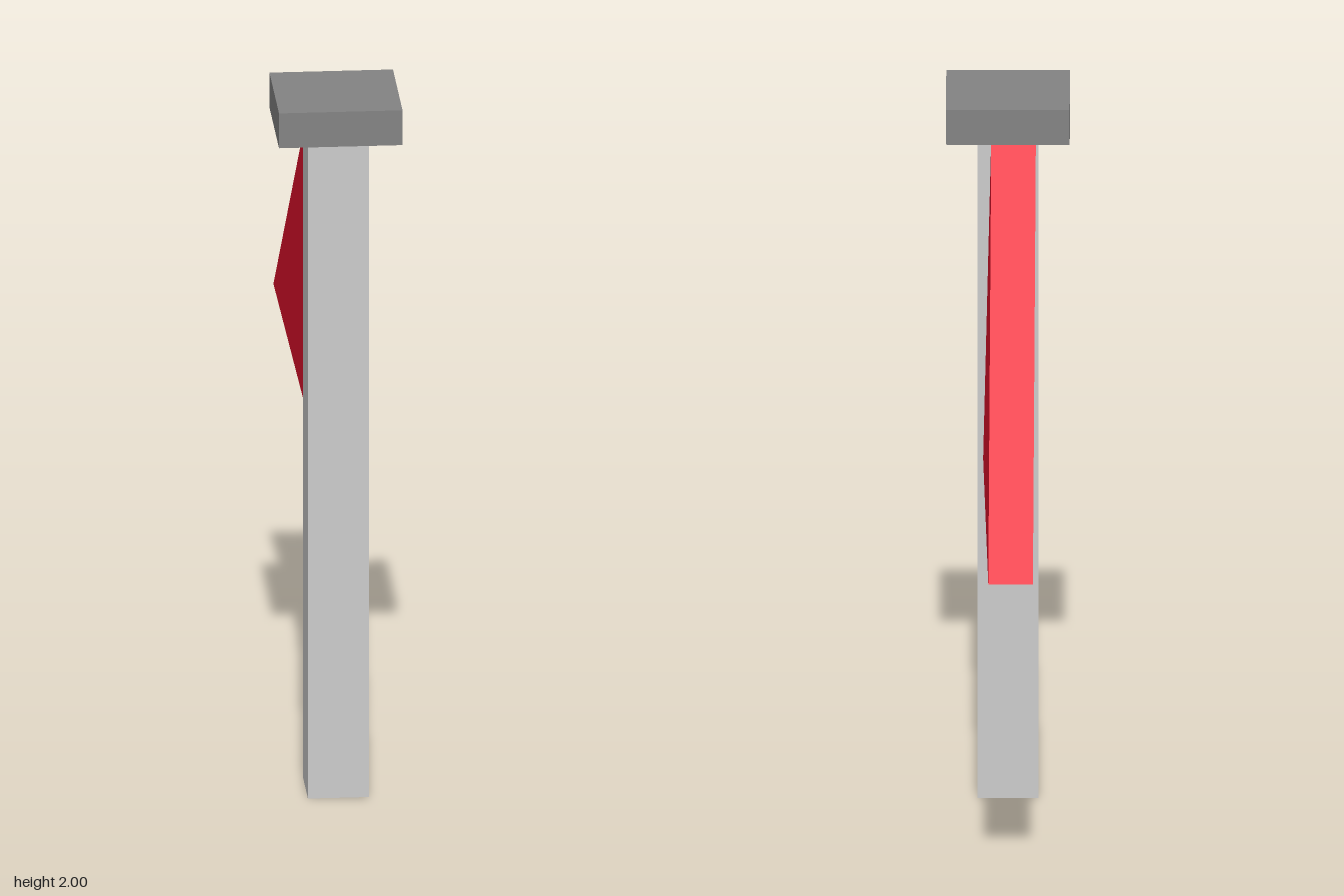
import * as THREE from 'three';

const material = (color) => new THREE.MeshStandardMaterial({ color, flatShading: true });

function addBox(group, name, size, position, color) {
  const mesh = new THREE.Mesh(new THREE.BoxGeometry(...size), material(color));
  mesh.name = name;
  mesh.position.set(...position);
  group.add(mesh);
}

export function createModel() {
  const model = new THREE.Group();
  model.name = 'flagpole';

  // Square pole and its cap
  addBox(model, 'pole', [0.166, 1.9, 0.166], [0, 0.95, 0.547], 0xcccccc);
  addBox(model, 'poleCap', [0.336, 0.1, 0.336], [0, 1.95, 0.544], 0x838383);

  // Thick triangular pennant, outlined in (z, y) and extruded across x
  const outline = new THREE.Shape([
    new THREE.Vector2(0.464, 1.896),
    new THREE.Vector2(-0.712, 1.01),
    new THREE.Vector2(0.464, 0.972),
  ]);
  const geometry = new THREE.ExtrudeGeometry(outline, { depth: 0.121, bevelEnabled: false });
  geometry.rotateY(-Math.PI / 2);

  // Slight twist: the lower corner at the pole leans towards +x
  const p = geometry.attributes.position;
  for (let i = 0; i < p.count; i++) {
    p.setX(i, p.getX(i) + 0.083 - 0.0238 * p.getY(i) + 0.0154 * p.getZ(i));
  }
  geometry.computeVertexNormals();
  const pennant = new THREE.Mesh(geometry, material(0xe7122d));
  pennant.name = 'pennant';
  model.add(pennant);

  return model;
}
